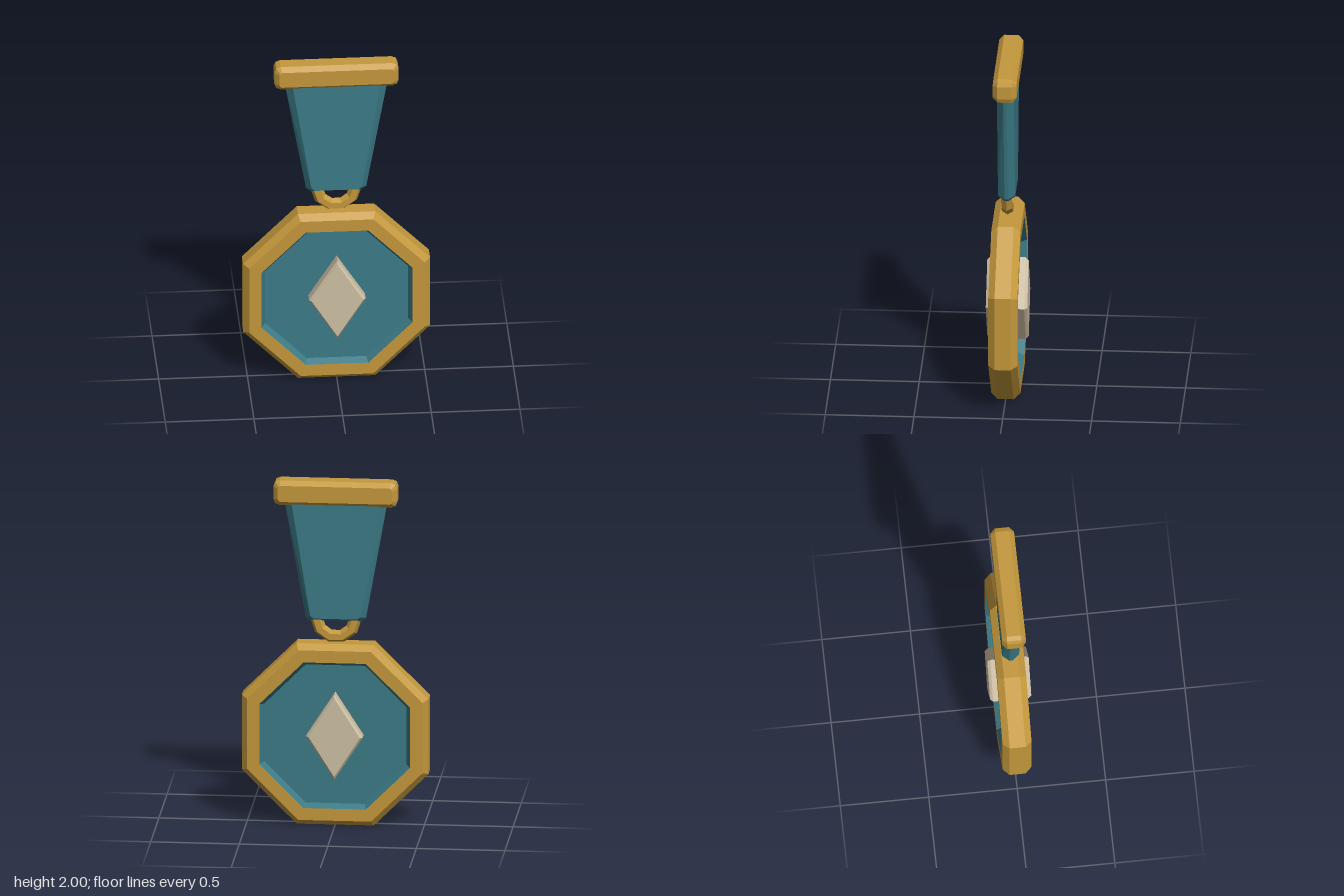
import * as THREE from 'three';
import { ConvexGeometry } from 'three/addons/geometries/ConvexGeometry.js';

const material = (name, color) => {
  const m = new THREE.MeshStandardMaterial({ color, flatShading: true });
  m.name = name;
  return m;
};

// Convex slab: full outline up to z = side, smaller outline on both faces at z = face
function bevelledSlab(outer, side, inner, face) {
  const points = [];
  for (const s of [-1, 1]) {
    for (const [x, y] of outer) points.push(new THREE.Vector3(x, y, s * side));
    for (const [x, y] of inner) points.push(new THREE.Vector3(x, y, s * face));
  }
  return new ConvexGeometry(points);
}

// Rectangle with two-step rounded corners
function roundedOutline(cy, hw, hh, r) {
  const points = [];
  for (const sx of [-1, 1]) for (const sy of [-1, 1]) for (let i = 0; i < 3; i++) {
    const a = i * Math.PI / 4;
    points.push([sx * (hw - r + r * Math.cos(a)), cy + sy * (hh - r + r * Math.sin(a))]);
  }
  return points;
}

const mirrored = (pts) => pts.flatMap(([x, y]) => [[x, y], [-x, y]]);
const rhombus = (cy, hw, hh) => [[hw, cy], [0, cy + hh], [-hw, cy], [0, cy - hh]];

// Octagonal turning about z; the profile is [apothem, z]
function octagonLathe(profile) {
  const k = 1 / Math.cos(Math.PI / 8);
  const points = profile.map(([a, z]) => new THREE.Vector2(a * k, z));
  return new THREE.LatheGeometry(points, 8, Math.PI / 8).rotateX(Math.PI / 2);
}

export function createModel() {
  const model = new THREE.Group();
  model.name = 'medal';
  const gold = material('gold', 0xc4983c);
  const teal = material('teal', 0x3b7a86);
  const pale = material('paleSilver', 0xcdbfa3);
  const add = (name, geometry, mat, y = 0) => {
    const mesh = new THREE.Mesh(geometry, mat);
    mesh.name = name;
    mesh.position.y = y;
    model.add(mesh);
  };
  const cy = 0.527;

  // Octagonal rim with bevelled outer edges
  add('rim', octagonLathe([
    [0.425, -0.082], [0.495, -0.082], [0.527, -0.045],
    [0.527, 0.045], [0.495, 0.082], [0.425, 0.082],
  ]), gold, cy);

  // Recessed enamel dishes, front and back
  add('frontEnamel', octagonLathe([[0.425, 0.082], [0.403, 0.042], [0, 0.042]]), teal, cy);
  add('backEnamel', octagonLathe([[0, -0.042], [0.403, -0.042], [0.425, -0.082]]), teal, cy);

  // Diamond emblem standing proud on both faces
  add('diamond', bevelledSlab(rhombus(cy, 0.16, 0.25), 0.1, rhombus(cy, 0.145, 0.23), 0.117), pale);

  // Link between medal and ribbon
  add('link', new THREE.TorusGeometry(0.11, 0.036, 6, 10), gold, 1.195);

  // Tapered ribbon
  add('ribbon', bevelledSlab(
    mirrored([[0.295, 1.9], [0.17, 1.2], [0.145, 1.18]]), 0.01,
    mirrored([[0.252, 1.9], [0.142, 1.215], [0.122, 1.2]]), 0.048), teal);

  // Top bar
  add('topBar', bevelledSlab(
    roundedOutline(1.928, 0.35, 0.072, 0.035), 0.04,
    roundedOutline(1.928, 0.323, 0.047, 0.016), 0.067), gold);

  return model;
}
